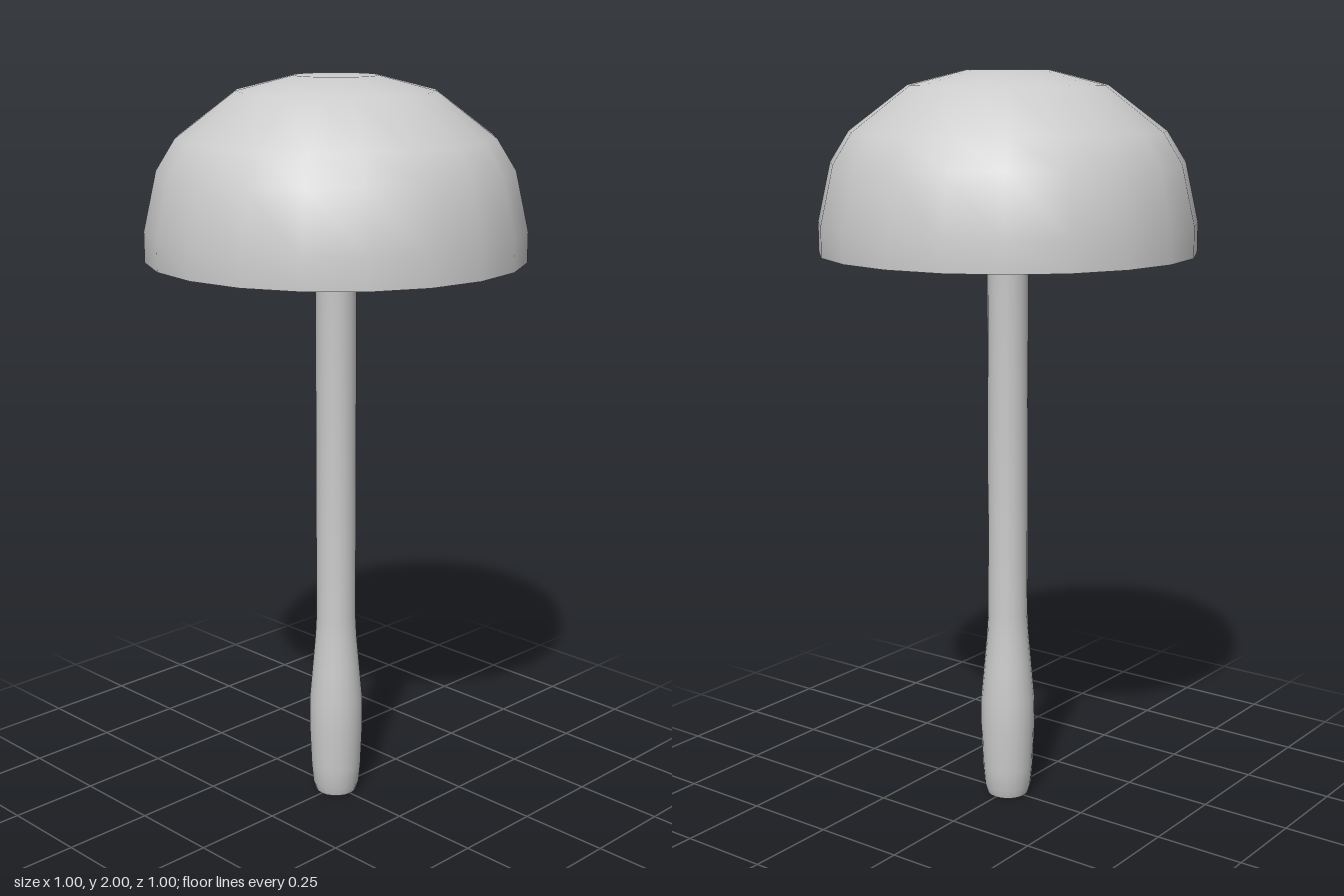
import * as THREE from 'three';
import { toCreasedNormals } from 'three/addons/utils/BufferGeometryUtils.js';

const material = new THREE.MeshStandardMaterial({ color: 0xcccccc });

// Turned part from [radius, height] pairs, smooth except at sharp edges
function turned(name, profile, sides) {
  const points = profile.map(([r, y]) => new THREE.Vector2(r, y));
  const geometry = toCreasedNormals(new THREE.LatheGeometry(points, sides), Math.PI / 3.5);
  const mesh = new THREE.Mesh(geometry, material);
  mesh.name = name;
  return mesh;
}

export function createModel() {
  const group = new THREE.Group();
  group.name = 'mushroom';

  // Stem: closed foot, swollen base, straight shaft, small flare under the cap
  group.add(turned('stem', [
    [0, 0], [0.057, 0], [0.065, 0.025], [0.07, 0.08], [0.075, 0.2], [0.075, 0.28],
    [0.066, 0.38], [0.058, 0.47], [0.055, 0.53], [0.055, 1.74], [0.062, 1.79],
  ], 20));

  // Cap: hollow underside, thin rim, domed outside with a flat crown
  group.add(turned('cap', [
    [0, 1.79], [0.06, 1.785], [0.22, 1.75], [0.37, 1.66], [0.45, 1.58], [0.48, 1.53],
    [0.5, 1.53], [0.5, 1.61], [0.465, 1.765], [0.415, 1.845],
    [0.26, 1.962], [0.11, 2], [0, 2],
  ], 20));

  return group;
}
